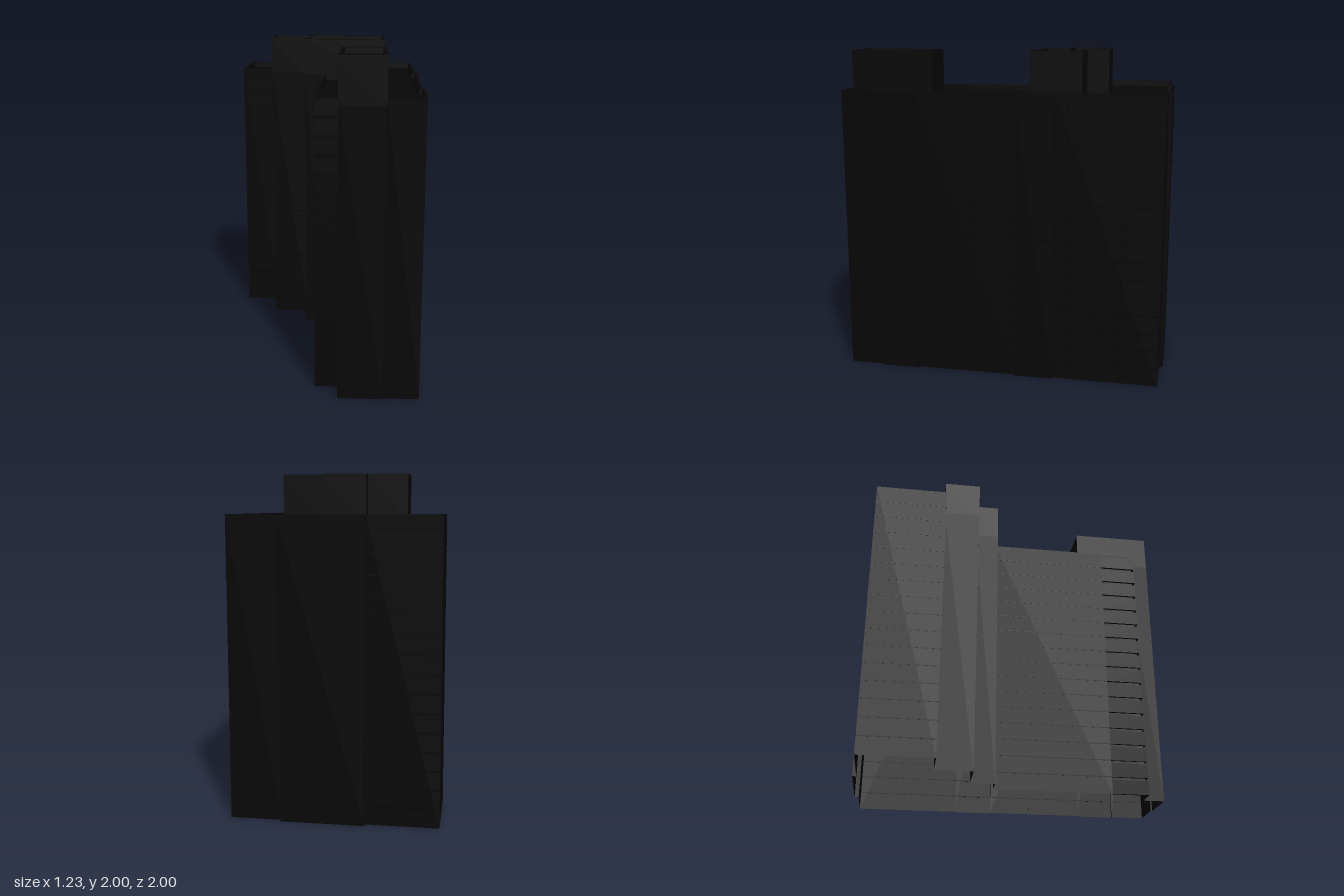
import * as THREE from 'three';

const wallMat = new THREE.MeshStandardMaterial({ color: 0x060606, side: THREE.DoubleSide });
wallMat.name = 'charcoal wall';
const jointMat = new THREE.MeshStandardMaterial({ color: 0x030303 });
jointMat.name = 'black joint';

const ROOF = 1.765, TOP = 2, FLOORS = 16, STEP = ROOF / FLOORS;
const RIM = 0.02, SUNK = 0.035;

// Moves every edge of a right-angled plan inwards by t
function inset(plan, t) {
  const n = plan.length;
  const normal = (a, b) => [-Math.sign(b[1] - a[1]), Math.sign(b[0] - a[0])];
  return plan.map((p, i) => {
    const u = normal(plan[(i + n - 1) % n], p), v = normal(p, plan[(i + 1) % n]);
    return [p[0] + t * (u[0] + v[0]), p[1] + t * (u[1] + v[1])];
  });
}

function mesh(name, geo, mat = wallMat) {
  const m = new THREE.Mesh(geo, mat);
  m.name = name;
  return m;
}

// Upright sheet walls that follow a closed plan of [x, z] corners
function walls(name, plan, y0, y1) {
  const pos = [];
  plan.forEach(([ax, az], i) => {
    const [bx, bz] = plan[(i + 1) % plan.length];
    pos.push(ax, y0, az, ax, y1, az, bx, y1, bz, ax, y0, az, bx, y1, bz, bx, y0, bz);
  });
  const geo = new THREE.BufferGeometry();
  geo.setAttribute('position', new THREE.Float32BufferAttribute(pos, 3));
  geo.computeVertexNormals();
  return mesh(name, geo);
}

// Level sheet over a plan, with an optional hole
function slab(name, plan, y, hole) {
  const points = (list) => list.map(([x, z]) => new THREE.Vector2(x, -z));
  const shape = new THREE.Shape(points(plan));
  if (hole) shape.holes.push(new THREE.Path(points(hole)));
  const geo = new THREE.ShapeGeometry(shape);
  geo.rotateX(-Math.PI / 2);
  geo.translate(0, y, 0);
  return mesh(name, geo);
}

// Open-bottomed block with a sunken roof behind a parapet
function block(name, plan, y0, y1) {
  const group = new THREE.Group();
  group.name = name;
  const inner = inset(plan, RIM);
  group.add(
    walls('outerWalls', plan, y0, y1),
    walls('parapetInside', inner.slice().reverse(), y1 - SUNK, y1),
    slab('parapetTop', plan, y1, inner),
    slab('roof', inner, y1 - SUNK),
  );
  return group;
}

// Box given by its limits
function box(name, x0, x1, y0, y1, z0, z1, mat) {
  const m = mesh(name, new THREE.BoxGeometry(x1 - x0, y1 - y0, z1 - z0), mat);
  m.position.set((x0 + x1) / 2, (y0 + y1) / 2, (z0 + z1) / 2);
  return m;
}

export function createModel() {
  const model = new THREE.Group();
  model.name = 'apartmentBlock';

  // Main body with its stepped corner and two shallow side bays
  model.add(block('mainBody', [
    [-0.617, -0.975], [-0.19, -0.975], [-0.19, -1], [0.3, -1], [0.3, -0.975], [0.6, -0.975],
    [0.6, -0.33], [0.615, -0.33], [0.615, -0.09], [0.6, -0.09],
    [0.6, 0.53], [0.615, 0.53], [0.615, 0.77], [0.6, 0.77],
    [0.6, 0.99], [0.385, 0.99], [0.385, 1], [0.12, 1], [0.12, 0.845], [-0.005, 0.845],
    [-0.005, 0.62], [-0.02, 0.62], [-0.02, -0.145], [-0.145, -0.145], [-0.145, -0.3],
    [-0.385, -0.3], [-0.385, -0.53], [-0.617, -0.53],
  ], 0, ROOF));

  // Rooftop stair tower and plant room
  model.add(block('stairTower', [[0.12, 0.48], [0.385, 0.48], [0.385, 1], [0.12, 1]], ROOF - SUNK, TOP));
  model.add(block('plantRoom', [
    [-0.385, -0.53], [-0.145, -0.53], [-0.145, -0.595], [0.115, -0.595], [0.115, -0.46],
    [0.385, -0.46], [0.385, -0.145], [-0.145, -0.145], [-0.145, -0.3], [-0.385, -0.3],
  ], ROOF - SUNK, TOP));

  // Corner balcony fronts, one pair per floor
  const balconies = new THREE.Group();
  balconies.name = 'cornerBalconies';
  for (let i = 0; i < FLOORS; i++) {
    const y0 = i * STEP, y1 = y0 + STEP * 0.82;
    balconies.add(box('balconyFront', -0.02, 0.12, y0, y1, 0.845, 0.86));
    balconies.add(box('balconySide', -0.02, -0.005, y0, y1, 0.62, 0.845));
  }
  model.add(balconies);

  // Thin floor joints on the panelled walls
  const joints = new THREE.Group();
  joints.name = 'panelJoints';
  const p = 0.001, h = 0.003;
  for (let i = 1; i < FLOORS; i++) {
    const y = i * STEP;
    const band = (x0, x1, z0, z1) => joints.add(box('floorJoint', x0, x1, y - h, y + h, z0, z1, jointMat));
    band(0.599, 0.6 + p, -0.975, 0.99);
    band(0.614, 0.615 + p, -0.33, -0.09);
    band(0.614, 0.615 + p, 0.53, 0.77);
    band(-0.617, -0.19, -0.975 - p, -0.974);
    band(-0.617 - p, -0.616, -0.975, -0.53);
    band(-0.02 - p, -0.019, -0.145, 0.62);
    band(-0.617, -0.385, -0.531, -0.53 + p);
    band(-0.385, -0.145, -0.301, -0.3 + p);
  }

  // Upright joints on the long side
  for (const z of [-0.74, -0.41, 0.18, 0.36]) {
    joints.add(box('uprightJoint', 0.599, 0.6 + p, 0, ROOF, z - h, z + h, jointMat));
  }
  model.add(joints);
  return model;
}
